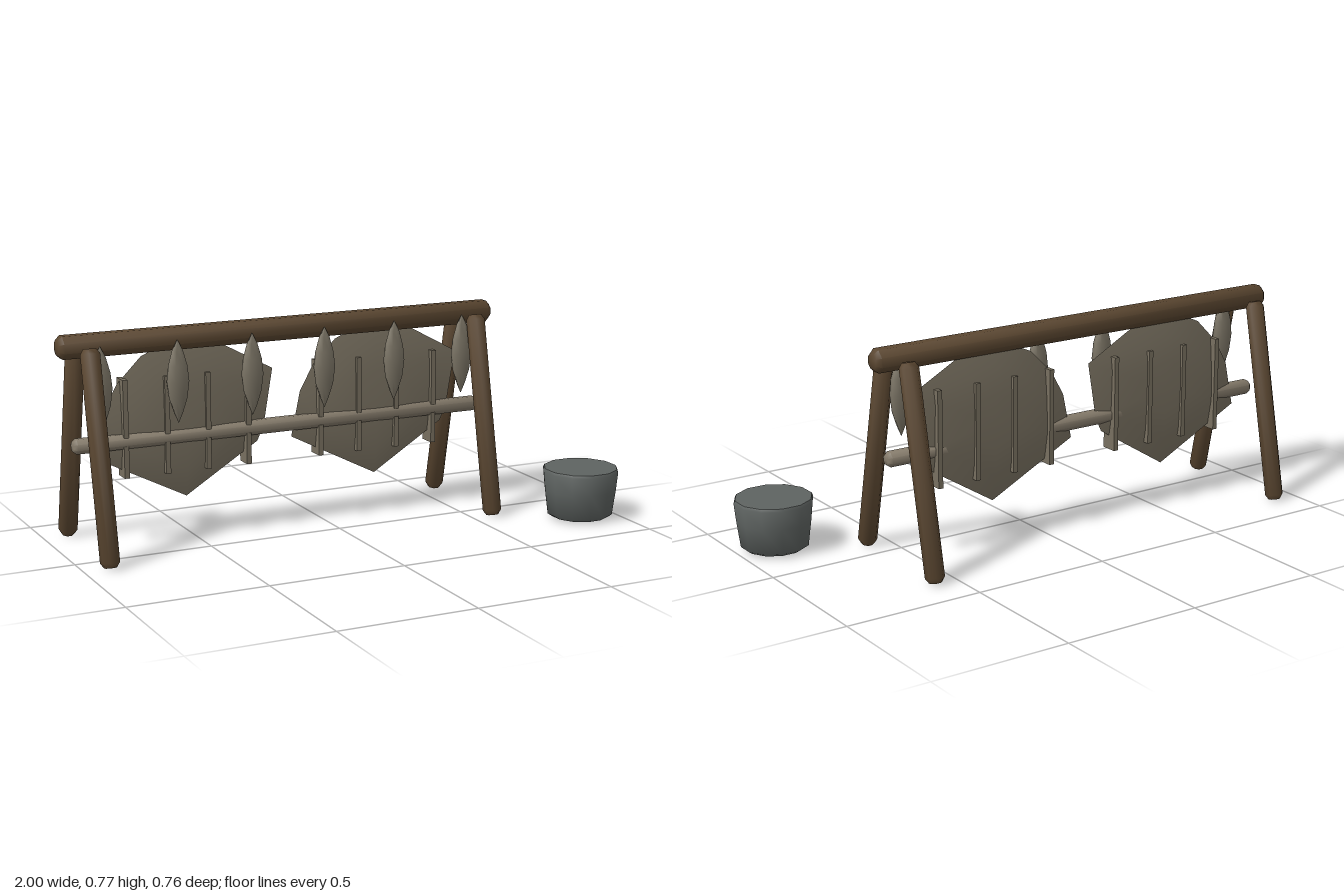
import * as THREE from 'three';
import { toCreasedNormals } from 'three/addons/utils/BufferGeometryUtils.js';

const mat = (name, color, side = THREE.FrontSide) => {
  const m = new THREE.MeshStandardMaterial({ color, side });
  m.name = name;
  return m;
};

// Turned shape from [radius, height] pairs, with flats facing the axes
function turned(profile, sides) {
  const pts = profile.map(([r, y]) => new THREE.Vector2(r, y));
  return toCreasedNormals(new THREE.LatheGeometry(pts, sides, Math.PI / sides), 0.95);
}

// Eight-sided pole with chamfered ends between two points
function pole(name, a, b, r, material, chamfer = 0.012) {
  const from = new THREE.Vector3(...a), to = new THREE.Vector3(...b);
  const h = from.distanceTo(to) / 2;
  const mesh = new THREE.Mesh(turned([
    [0, -h], [r * 0.65, -h], [r, -h + chamfer], [r, h - chamfer], [r * 0.65, h], [0, h],
  ], 8), material);
  mesh.name = name;
  mesh.position.copy(from).add(to).multiplyScalar(0.5);
  mesh.quaternion.setFromUnitVectors(new THREE.Vector3(0, 1, 0), to.sub(from).normalize());
  return mesh;
}

// Hide: an uneven outline bulging to a lens on both sides
function hideGeometry() {
  const outline = [[0, 0.155], [0.275, 0.325], [0.3, 0.38], [0.335, 0.585], [0.14, 0.69], [0, 0.715],
    [-0.08, 0.705], [-0.16, 0.67], [-0.25, 0.58], [-0.3, 0.49], [-0.335, 0.326]];
  const n = outline.length, cy = 0.45;
  const rings = [[1, 0], [0.68, 0.017], [0.35, 0.022], [0, 0.024]];
  const pos = [];
  const vert = (ring, i, s) => {
    const [k, z] = rings[ring], [x, y] = outline[i % n];
    return [x * k, cy + (y - cy) * k, z * s];
  };
  for (const s of [1, -1]) {
    for (let r = 0; r < rings.length - 1; r++) {
      for (let i = 0; i < n; i++) {
        const a = vert(r, i, s), b = vert(r, i + 1, s), c = vert(r + 1, i + 1, s), d = vert(r + 1, i, s);
        const tris = r === rings.length - 2 ? [[a, b, c]] : [[a, b, c], [a, c, d]];
        for (const [p, q, t] of tris) pos.push(...(s > 0 ? [p, q, t] : [p, t, q]).flat());
      }
    }
  }
  const g = new THREE.BufferGeometry();
  g.setAttribute('position', new THREE.Float32BufferAttribute(pos, 3));
  return toCreasedNormals(g, 0.5);
}

export function createModel() {
  const model = new THREE.Group();
  model.name = 'dryingRack';
  const wood = mat('dark wood', 0x5a4630);
  const pale = mat('pale wood', 0x857b6b);
  const hideMat = mat('dried hide', 0x787060);
  const fishMat = mat('dried fish', 0x7d7667);
  const iron = mat('iron', 0x5e6361);

  const zMid = -0.124;

  // Frame: ridge beam, lower rail and splayed legs
  model.add(pole('ridgeBeam', [-1, 0.727, zMid], [0.672, 0.727, zMid], 0.043, wood, 0.016));
  model.add(pole('lowerRail', [-0.955, 0.379, zMid], [0.627, 0.379, zMid], 0.028, pale));
  for (const x of [-0.907, 0.58]) {
    model.add(pole('frontLeg', [x, 0.004, 0.098], [x, 0.729, -0.053], 0.034, wood, 0.018));
    model.add(pole('backLeg', [x, 0.004, -0.354], [x, 0.729, -0.202], 0.034, wood, 0.018));
  }

  // Two hides, each with four stretcher slats
  const hideGeo = hideGeometry();
  const slatGeo = new THREE.BoxGeometry(0.018, 0.347, 0.062);
  for (const x of [-0.537, 0.206]) {
    const panel = new THREE.Group();
    panel.name = 'hidePanel';
    panel.position.set(x, 0, -0.133);
    const hide = new THREE.Mesh(hideGeo, hideMat);
    hide.name = 'hide';
    panel.add(hide);
    for (let i = 0; i < 4; i++) {
      const slat = new THREE.Mesh(slatGeo, hideMat);
      slat.name = 'slat';
      slat.position.set(-0.23 + i * 0.1533, 0.4245, 0);
      panel.add(slat);
    }
    model.add(panel);
  }

  // Row of fish hung from the front of the beam
  const fishGeo = turned([[0, -0.148], [0.017, -0.11], [0.034, -0.06], [0.042, 0],
    [0.036, 0.055], [0.02, 0.11], [0, 0.148]], 8);
  fishGeo.scale(1, 1, 0.5);
  for (let i = 0; i < 6; i++) {
    const fish = new THREE.Mesh(fishGeo, fishMat);
    fish.name = 'hangingFish';
    fish.position.set(-0.863 + i * 0.28, 0.582, -0.077);
    model.add(fish);
  }

  // Squat tapered pot beside the rack
  const pot = new THREE.Mesh(turned([[0, 0.007], [0.105, 0.007], [0.121, 0.018], [0.133, 0.11],
    [0.14, 0.178], [0.135, 0.188], [0, 0.19]], 12), iron);
  pot.name = 'pot';
  pot.position.set(0.863, 0, 0.246);
  model.add(pot);

  return model;
}
